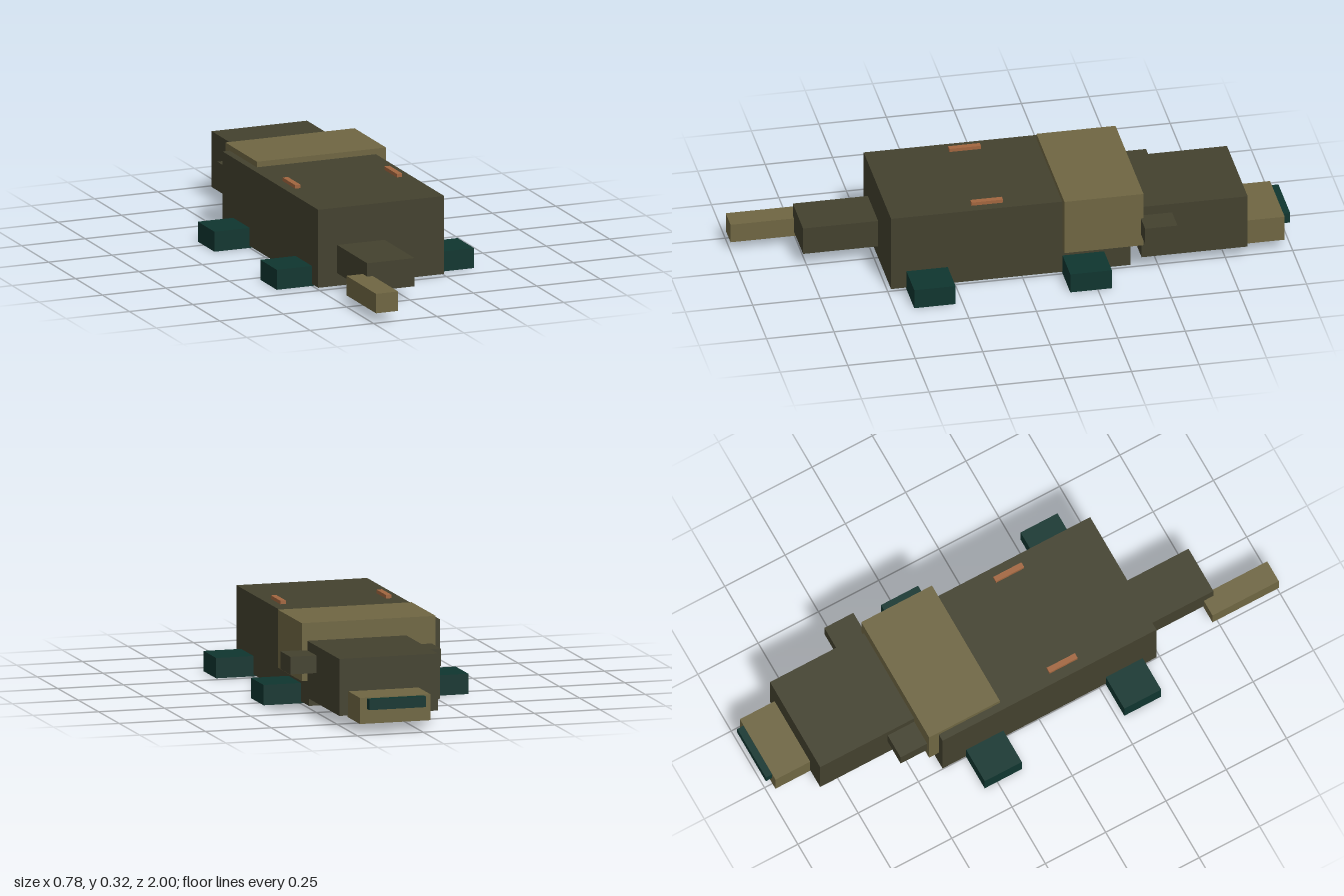
import * as THREE from 'three';

const mat = (name, color) => {
  const m = new THREE.MeshStandardMaterial({ color });
  m.name = name;
  return m;
};

export function createModel() {
  const model = new THREE.Group();
  model.name = 'blockCreature';

  const olive = mat('darkOlive', 0x43412e);
  const tan = mat('tan', 0x6f6642);
  const green = mat('deepGreen', 0x0f352f);
  const orange = mat('copper', 0xa2663f);
  const cream = mat('paleKhaki', 0xb0a880);

  // Box given by its low and high limits on each axis
  const box = (name, material, [x0, x1], [y0, y1], [z0, z1]) => {
    const mesh = new THREE.Mesh(new THREE.BoxGeometry(x1 - x0, y1 - y0, z1 - z0), material);
    mesh.position.set((x0 + x1) / 2, (y0 + y1) / 2, (z0 + z1) / 2);
    mesh.name = name;
    model.add(mesh);
  };

  // Trunk and offset collar
  box('body', olive, [-0.25, 0.247], [0.007, 0.3], [-0.4, 0.487]);
  box('collar', tan, [-0.222, 0.287], [0.107, 0.321], [-0.44, -0.147]);

  // Head, snout, nose and lower jaw plate
  box('head', olive, [-0.11, 0.266], [0.045, 0.255], [-0.83, -0.437]);
  box('snout', tan, [-0.035, 0.232], [0.038, 0.134], [-0.974, -0.82]);
  box('nose', green, [-0.01, 0.205], [0.092, 0.131], [-1, -0.97]);
  box('jaw', cream, [0, 0.175], [0.016, 0.046], [-0.848, -0.637]);

  // Ears on either side of the head
  box('leftEar', olive, [0.25, 0.365], [0.155, 0.22], [-0.55, -0.43]);
  box('rightEar', olive, [-0.207, -0.09], [0.155, 0.22], [-0.55, -0.43]);

  // Two-part tail
  box('tailBase', olive, [-0.175, 0.012], [0.054, 0.16], [0.48, 0.765]);
  box('tailTip', tan, [-0.24, -0.153], [0.037, 0.11], [0.725, 1]);

  // Feet and back ridges, mirrored
  for (const s of [-1, 1]) {
    const side = s > 0 ? 'left' : 'right';
    const span = (a, b) => (s > 0 ? [a, b] : [-b, -a]);
    box(side + 'RearFoot', green, span(0.175, 0.389), [0, 0.075], [0.277, 0.43]);
    box(side + 'FrontFoot', green, span(0.175, 0.389), [0, 0.075], [-0.302, -0.148]);
    box(side + 'Ridge', orange, span(0.19, 0.211), [0.29, 0.313], [0.065, 0.182]);
  }
  return model;
}
